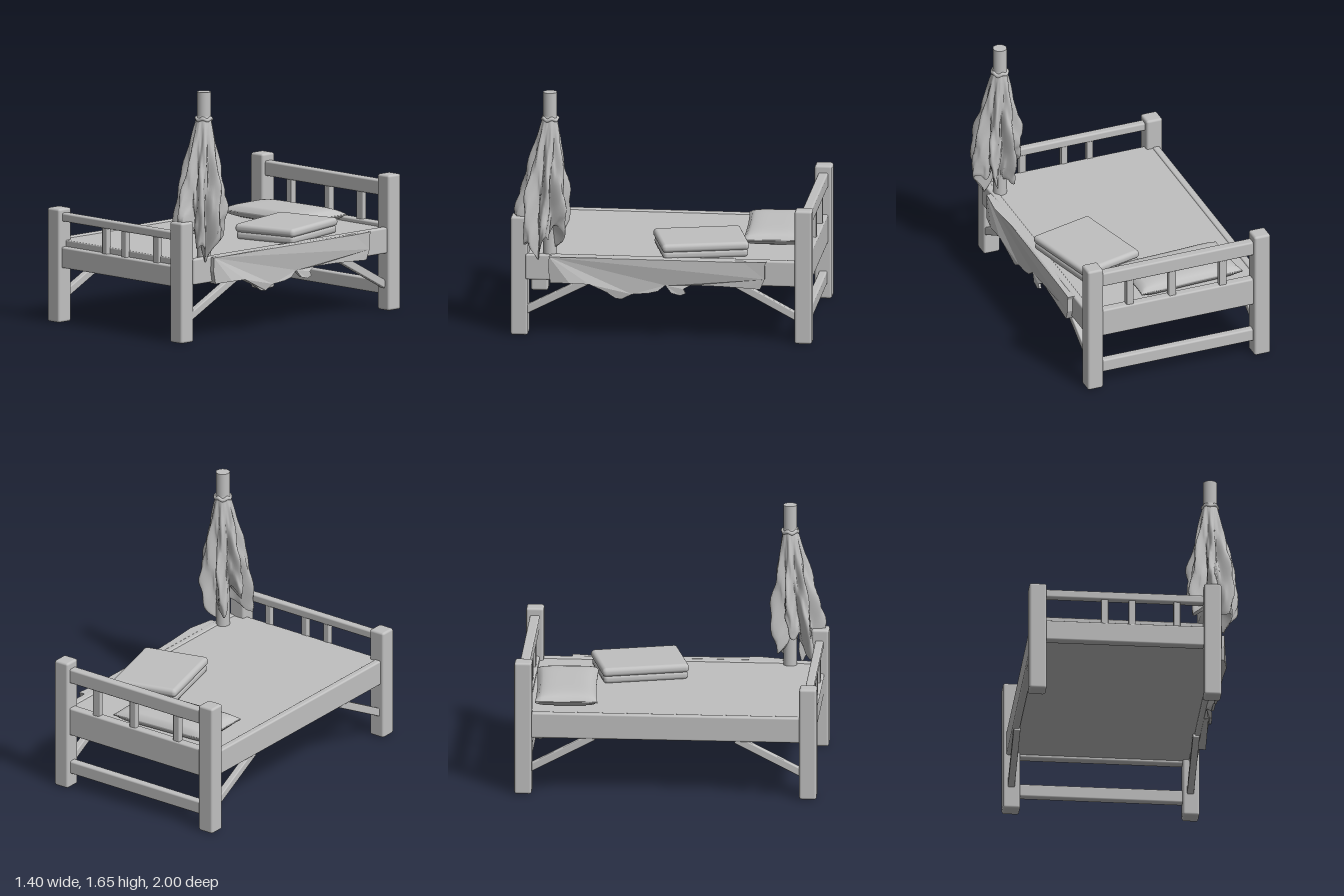
import * as THREE from 'three';
import { mergeVertices } from 'three/addons/utils/BufferGeometryUtils.js';
import { RoundedBoxGeometry } from 'three/addons/geometries/RoundedBoxGeometry.js';

const grey = new THREE.MeshStandardMaterial({ color: 0xc0c0c0 });
grey.name = 'plain grey';

function add(parent, name, geometry) {
  const mesh = new THREE.Mesh(geometry, grey);
  mesh.name = name;
  parent.add(mesh);
  return mesh;
}

// Softened beam given by its extents
function beam(parent, name, [x0, x1], [y0, y1], [z0, z1], r = 0.01) {
  const mesh = add(parent, name, new RoundedBoxGeometry(x1 - x0, y1 - y0, z1 - z0, 2, r));
  mesh.position.set((x0 + x1) / 2, (y0 + y1) / 2, (z0 + z1) / 2);
  return mesh;
}

// Moves every vertex by a rule and rebuilds smooth normals
function warp(geometry, rule) {
  geometry.deleteAttribute('uv');
  geometry.deleteAttribute('normal');
  const g = mergeVertices(geometry, 1e-5);
  const p = g.attributes.position, v = new THREE.Vector3();
  for (let i = 0; i < p.count; i++) {
    v.fromBufferAttribute(p, i);
    rule(v);
    p.setXYZ(i, v.x, v.y, v.z);
  }
  g.computeVertexNormals();
  return g;
}

// Cushion thinning toward its edges, with drawn-out corners
function pillowGeometry(w, h, d) {
  return warp(new THREE.BoxGeometry(2, 2, 2, 28, 4, 20), (v) => {
    const { x, y, z } = v;
    const full = Math.pow((1 - Math.pow(Math.abs(x), 5)) * (1 - Math.pow(Math.abs(z), 4)), 0.45);
    v.set(x * (1 - 0.03 * (1 - z * z)) * w / 2,
      y * (0.1 + 0.9 * full) * h / 2,
      z * (1 - 0.05 * (1 - x * x)) * d / 2);
  });
}

// Bundled canopy: a closed lathe profile pushed into hanging folds
function canopyGeometry() {
  const outline = [[0.02, 0.08], [0.09, 0.02], [0.118, 0], [0.132, 0.1], [0.125, 0.25], [0.105, 0.42],
    [0.085, 0.58], [0.062, 0.72], [0.05, 0.78], [0.046, 0.8]].map((p) => new THREE.Vector2(...p));
  const dense = [];
  for (let i = 0; i < outline.length - 1; i++) {
    for (let k = 0; k < 4; k++) dense.push(outline[i].clone().lerp(outline[i + 1], k / 4));
  }
  dense.push(outline[outline.length - 1]);
  return warp(new THREE.LatheGeometry(dense, 112), (v) => {
    const a = Math.atan2(v.x, v.z), r = Math.hypot(v.x, v.z);
    const t = 1 - v.y / 0.8; // 0 at the tie, 1 at the hem
    const fold = Math.cos(7 * a + 0.7 * Math.sin(v.y * 6)) * 0.34
      + 0.1 * Math.sin(12 * a + v.y * 14) + 0.07 * Math.sin(19 * a - v.y * 23);
    const s = r > 0.03 ? r * (1 + fold * Math.min(1, t * 1.8)) : r;
    const hem = 0.07 * Math.sin(3 * a + 1) + 0.05 * Math.sin(8 * a) - 0.05 * Math.sin(a);
    v.set(Math.sin(a) * s + 0.01 * t, v.y + hem * t * t * t, Math.cos(a) * s + 0.055 * t);
  });
}

// Draped sheet: ragged outline in z and y, bowed outward along the side
function sheetGeometry() {
  const hem = [[0.74, 0.55], [0.745, 0.46], [0.73, 0.375], [0.6, 0.38], [0.47, 0.375], [0.38, 0.33], [0.3, 0.28],
    [0.26, 0.275], [0.19, 0.31], [0.08, 0.32], [0.02, 0.335], [-0.03, 0.375], [-0.07, 0.325],
    [-0.13, 0.31], [-0.165, 0.325], [-0.15, 0.355], [-0.2, 0.38], [-0.4, 0.38], [-0.55, 0.375],
    [-0.66, 0.37], [-0.69, 0.44], [-0.69, 0.53], [-0.7, 0.555], [-0.55, 0.55], [-0.3, 0.556],
    [0, 0.557], [0.3, 0.556], [0.55, 0.556]];
  const shape = new THREE.Shape(hem.map(([z, y]) => new THREE.Vector2(-z, y)));
  const g = new THREE.ExtrudeGeometry(shape, { depth: 1, bevelEnabled: false });
  const bow = [[-0.7, 0.625], [-0.6, 0.622], [-0.2, 0.6], [0, 0.605], [0.3, 0.622], [0.62, 0.647], [0.75, 0.615]];
  const p = g.attributes.position;
  for (let i = 0; i < p.count; i++) {
    const z = -p.getX(i), y = p.getY(i);
    const k = Math.max(1, bow.findIndex((b) => b[0] >= z));
    const [z0, x0] = bow[k - 1], [z1, x1] = bow[k];
    let outer = x0 + (x1 - x0) * (z - z0) / (z1 - z0);
    if (y < 0.36) outer = 0.612;
    const inner = y < 0.36 ? 0.596 : 0.57;
    p.setXYZ(i, p.getZ(i) > 0.5 ? outer : inner, y, z);
  }
  g.computeVertexNormals();
  return g;
}

export function createModel() {
  const model = new THREE.Group();
  model.name = 'bed';

  // Corner posts
  beam(model, 'frontRightPost', [-0.695, -0.58], [0, 0.76], [0.88, 0.995], 0.016);
  beam(model, 'frontLeftPost', [0.46, 0.576], [0, 0.805], [0.885, 1], 0.016);
  beam(model, 'backRightPost', [-0.695, -0.58], [0, 0.905], [-1, -0.885], 0.016);
  beam(model, 'backLeftPost', [0.495, 0.605], [0, 0.905], [-1, -0.885], 0.016);

  // Footboard
  const footboard = new THREE.Group();
  footboard.name = 'footboard';
  model.add(footboard);
  beam(footboard, 'footTopRail', [-0.6, 0.48], [0.675, 0.732], [0.91, 0.965], 0.012);
  beam(footboard, 'footPanel', [-0.6, 0.48], [0.365, 0.505], [0.905, 0.97], 0.012);
  for (const x of [-0.193, -0.012, 0.285]) {
    beam(footboard, 'footBaluster', [x - 0.023, x + 0.023], [0.49, 0.69], [0.918, 0.958], 0.006);
  }

  // Headboard with its low stretcher
  const headboard = new THREE.Group();
  headboard.name = 'headboard';
  model.add(headboard);
  beam(headboard, 'headTopRail', [-0.6, 0.52], [0.757, 0.857], [-0.975, -0.91], 0.012);
  beam(headboard, 'headPanel', [-0.6, 0.52], [0.38, 0.575], [-0.975, -0.91], 0.012);
  beam(headboard, 'headStretcher', [-0.6, 0.52], [0.1, 0.19], [-0.97, -0.915], 0.012);
  for (const x of [-0.37, -0.012, 0.29]) {
    beam(headboard, 'headBaluster', [x - 0.025, x + 0.025], [0.56, 0.77], [-0.965, -0.92], 0.006);
  }

  // Side rails and deck
  beam(model, 'rightSideRail', [-0.672, -0.622], [0.383, 0.555], [-0.9, 0.9], 0.012);
  beam(model, 'leftSideRail', [0.535, 0.588], [0.383, 0.555], [-0.9, 0.9], 0.012);
  beam(model, 'deck', [-0.635, 0.548], [0.4, 0.547], [-0.93, 0.93], 0.008);

  // Diagonal braces under the side rails
  for (const x of [-0.64, 0.545]) {
    for (const [zPost, zRail] of [[0.92, 0.46], [-0.92, -0.48]]) {
      const low = new THREE.Vector3(x, 0.16, zPost), high = new THREE.Vector3(x, 0.395, zRail);
      const brace = add(model, 'brace', new RoundedBoxGeometry(0.045, 0.052, low.distanceTo(high), 2, 0.008));
      brace.position.copy(low).lerp(high, 0.5);
      brace.lookAt(high);
    }
  }

  // Pillow
  const pillow = add(model, 'pillow', pillowGeometry(0.73, 0.1, 0.41));
  pillow.position.set(-0.17, 0.59, -0.685);
  pillow.rotation.y = 0.05;

  // Folded blanket in two layers
  const blanket = new THREE.Group();
  blanket.name = 'foldedBlanket';
  blanket.position.set(0.305, 0, -0.235);
  blanket.rotation.y = 0.25;
  model.add(blanket);
  beam(blanket, 'lowerFold', [-0.222, 0.222], [0.54, 0.6], [-0.283, 0.283], 0.026);
  const upper = add(blanket, 'upperFold', warp(new RoundedBoxGeometry(0.455, 0.058, 0.58, 8, 0.026), (v) => {
    if (v.y > 0) v.y += 0.004 * Math.sin(v.x * 14) * Math.cos(v.z * 11);
  }));
  upper.position.y = 0.618;

  // Sheet hanging over the left side
  add(model, 'drapedSheet', sheetGeometry());

  // Pole with the tied canopy
  const canopy = new THREE.Group();
  canopy.name = 'canopy';
  canopy.position.set(0.522, 0, 0.742);
  model.add(canopy);
  add(canopy, 'pole', new THREE.CylinderGeometry(0.046, 0.046, 1.15, 32)).position.y = 1.075;
  add(canopy, 'canopyCloth', canopyGeometry()).position.y = 0.69;
  const tie = add(canopy, 'canopyTie', warp(new THREE.TorusGeometry(0.047, 0.014, 8, 40), (v) => {
    v.z += 0.006 * Math.sin(Math.atan2(v.y, v.x) * 5);
  }));
  tie.rotation.x = Math.PI / 2;
  tie.position.y = 1.47;

  return model;
}
